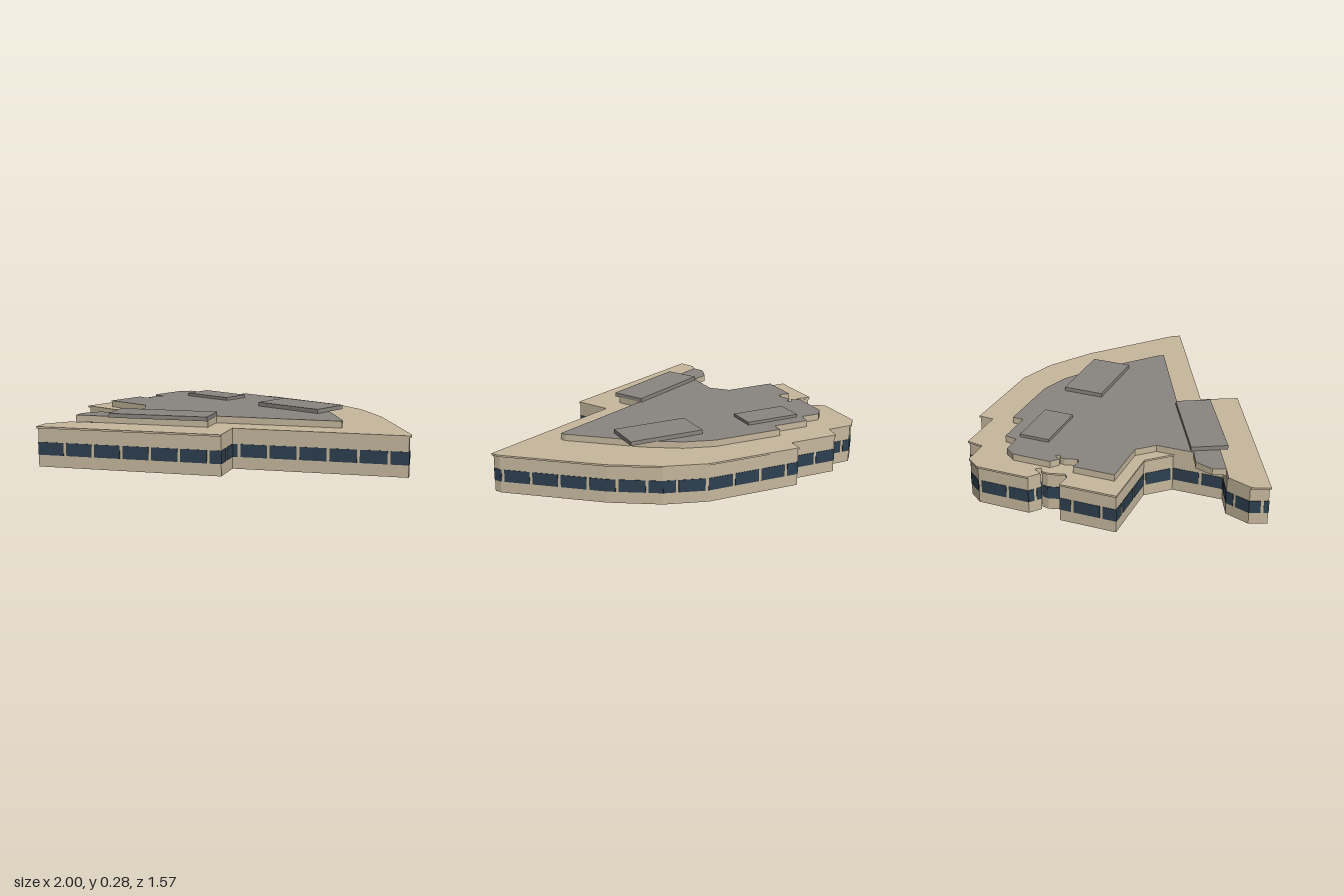
import * as THREE from 'three';
import { mergeGeometries } from 'three/addons/utils/BufferGeometryUtils.js';

// Floor plan as [x, z], running from the front left wing corner along the front
const PLAN = [
  [-0.99, 0.755], [0.045, 0.78], [0.05, 0.563], [1, 0.583], [1, 0.54],
  [0.77, -0.025], [0.615, -0.285], [0.44, -0.46], [-0.045, -0.725], [-0.09, -0.65],
  [-0.345, -0.787], [-0.405, -0.71], [-0.54, -0.78], [-0.63, -0.74], [-0.767, -0.48],
  [-0.735, -0.41], [-0.685, -0.437], [-0.677, -0.4], [-0.71, -0.405], [-0.735, -0.375],
  [-0.755, -0.28], [-0.79, -0.275], [-0.855, -0.32], [-1, -0.04], [-0.645, 0.145],
  [-0.598, 0.31], [-0.727, 0.563], [-0.87, 0.555], [-0.98, 0.655],
];

const scalePlan = (s, dx = 0, dz = 0) => PLAN.map(([x, z]) => [x * s + dx, z * s + dz]);

// Upright prism over a plan between two heights
function prism(points, y0, y1) {
  const shape = new THREE.Shape(points.map(([x, z]) => new THREE.Vector2(x, -z)));
  const geo = new THREE.ExtrudeGeometry(shape, { depth: y1 - y0, bevelEnabled: false });
  return geo.rotateX(-Math.PI / 2).translate(0, y0, 0);
}

// Window band: panes of equal length with gaps, running on round the corners
function windowBand(points, y0, y1, pane, gap) {
  const pieces = [];
  const pitch = pane + gap;
  let start = 0;
  points.forEach(([ax, az], i) => {
    const [bx, bz] = points[(i + 1) % points.length];
    const length = Math.hypot(bx - ax, bz - az);
    const end = start + length;
    for (let k = Math.floor(start / pitch); k * pitch < end; k++) {
      const from = Math.max(k * pitch, start);
      const to = Math.min(k * pitch + pane, end);
      if (to - from < 0.002) continue;
      const t = ((from + to) / 2 - start) / length;
      const geo = new THREE.BoxGeometry(to - from, y1 - y0, 0.005);
      geo.rotateY(-Math.atan2(bz - az, bx - ax));
      geo.translate(ax + (bx - ax) * t, (y0 + y1) / 2, az + (bz - az) * t);
      pieces.push(geo);
    }
    start = end;
  });
  return mergeGeometries(pieces);
}

export function createModel() {
  const model = new THREE.Group();
  const stone = new THREE.MeshStandardMaterial({ name: 'tan stone', color: 0xc6b89d });
  const roof = new THREE.MeshStandardMaterial({ name: 'grey roofing', color: 0x8a8580 });
  const glass = new THREE.MeshStandardMaterial({ name: 'dark glass', color: 0x2e4050 });

  const add = (name, geo, material) => {
    const mesh = new THREE.Mesh(geo, material);
    mesh.name = name;
    model.add(mesh);
    return mesh;
  };

  // Main storey with its slightly wider roof edge
  const wallPlan = scalePlan(0.99);
  add('mainWalls', prism(wallPlan, 0, 0.21), stone);
  add('roofEdge', prism(PLAN, 0.21, 0.22), stone);
  add('windowBand', windowBand(wallPlan, 0.065, 0.135, 0.145, 0.0155), glass);

  // Set-back upper tier: grey top, stone sides
  add('upperTier', prism(scalePlan(0.7325, -0.1175, -0.005), 0.22, 0.257), [roof, stone]);

  // Flat plant boxes on the roof: x, z, width, depth, top, turn
  [
    [-0.357, 0.495, 0.555, 0.2, 0.28, 0],
    [-0.287, -0.353, 0.32, 0.17, 0.274, -0.487],
    [0.302, -0.02, 0.435, 0.23, 0.28, -0.487],
  ].forEach(([x, z, w, d, top, turn], i) => {
    const box = add(`roofBox${i + 1}`, new THREE.BoxGeometry(w, top - 0.257, d), roof);
    box.position.set(x, (top + 0.257) / 2, z);
    box.rotation.y = turn;
  });

  return model;
}
